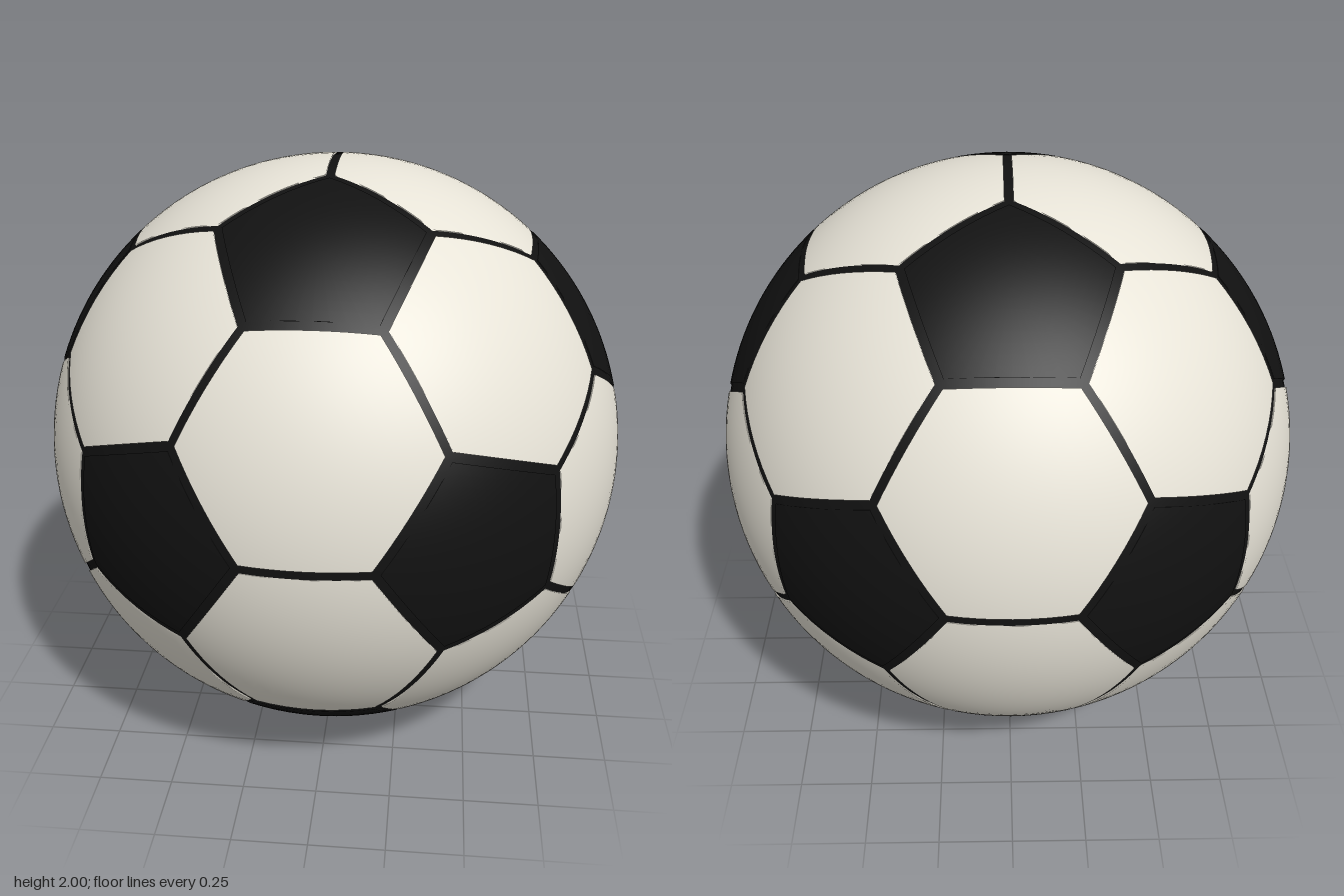
import * as THREE from 'three';

const SEAM = 0.013;   // inset of each panel edge
const STEPS = 8;      // subdivisions along a panel side
const RINGS = 8;      // subdivisions from panel centre to edge

// Twelve icosahedron directions: the pentagon centres
function pentagonCentres() {
  const t = (1 + Math.sqrt(5)) / 2, list = [];
  for (const a of [-1, 1]) for (const b of [-t, t]) {
    list.push([0, b, a], [b, a, 0], [a, 0, b]);
  }
  return list.map(p => new THREE.Vector3(...p).normalize());
}

// Point one third of the way along an icosahedron edge
const third = (a, b) => a.clone().lerp(b, 1 / 3);

// Curved panel: a flat polygon projected on the sphere, with a short skirt into the seam
function panelGeometry(corners) {
  const centre = corners.reduce((s, c) => s.add(c), new THREE.Vector3()).divideScalar(corners.length);
  const axis = centre.clone().normalize();
  const u = corners[0].clone().sub(centre).normalize();
  const v = axis.clone().cross(u);
  const angle = c => {
    const d = c.clone().sub(centre);
    return Math.atan2(d.dot(v), d.dot(u));
  };
  const ring = [...corners].sort((a, b) => angle(a) - angle(b));

  // Pull the outline in to leave the seam
  const apothem = ring[0].clone().add(ring[1]).multiplyScalar(0.5).distanceTo(centre);
  const outline = [];
  ring.forEach((c, i) => {
    const next = ring[(i + 1) % ring.length];
    for (let s = 0; s < STEPS; s++) {
      outline.push(c.clone().lerp(next, s / STEPS).lerp(centre, SEAM / apothem));
    }
  });

  const positions = [], normals = [], index = [], n = outline.length;
  for (let k = 0; k <= RINGS + 1; k++) {
    for (const p of outline) {
      const d = centre.clone().lerp(p, Math.min(k / RINGS, 1)).normalize();
      const r = k > RINGS ? 0.985 : 1;
      normals.push(d.x, d.y, d.z);
      positions.push(d.x * r, d.y * r, d.z * r);
    }
  }
  for (let k = 0; k <= RINGS; k++) {
    for (let i = 0; i < n; i++) {
      const j = (i + 1) % n;
      const a = k * n + i, b = k * n + j, c = a + n, d = b + n;
      index.push(a, c, d);
      if (k > 0) index.push(a, d, b);
    }
  }
  const geometry = new THREE.BufferGeometry();
  geometry.setAttribute('position', new THREE.Float32BufferAttribute(positions, 3));
  geometry.setAttribute('normal', new THREE.Float32BufferAttribute(normals, 3));
  geometry.setIndex(index);
  return geometry;
}

export function createModel() {
  const white = new THREE.MeshStandardMaterial({ color: 0xe8e4d8 });
  white.name = 'off white';
  const black = new THREE.MeshStandardMaterial({ color: 0x111111 });
  black.name = 'black';

  const ball = new THREE.Group();
  ball.name = 'ball';
  const add = (name, geometry, material) => {
    const mesh = new THREE.Mesh(geometry, material);
    mesh.name = name;
    ball.add(mesh);
  };

  // Inner sphere showing through the seams
  add('seams', new THREE.SphereGeometry(0.995, 128, 96), black);

  const centres = pentagonCentres();
  const adjacent = (a, b) => a !== b && a.dot(b) > 0.4;

  // Pentagons around each icosahedron vertex
  for (const p of centres) {
    const corners = centres.filter(q => adjacent(p, q)).map(q => third(p, q));
    add('pentagonPanel', panelGeometry(corners), black);
  }

  // Hexagons on each icosahedron face
  for (let i = 0; i < 12; i++) for (let j = i + 1; j < 12; j++) for (let k = j + 1; k < 12; k++) {
    const [a, b, c] = [centres[i], centres[j], centres[k]];
    if (!adjacent(a, b) || !adjacent(b, c) || !adjacent(a, c)) continue;
    const corners = [[a, b], [b, a], [b, c], [c, b], [c, a], [a, c]].map(e => third(...e));
    add('hexagonPanel', panelGeometry(corners), white);
  }

  ball.position.y = 1;
  const model = new THREE.Group();
  model.name = 'football';
  model.add(ball);
  return model;
}
